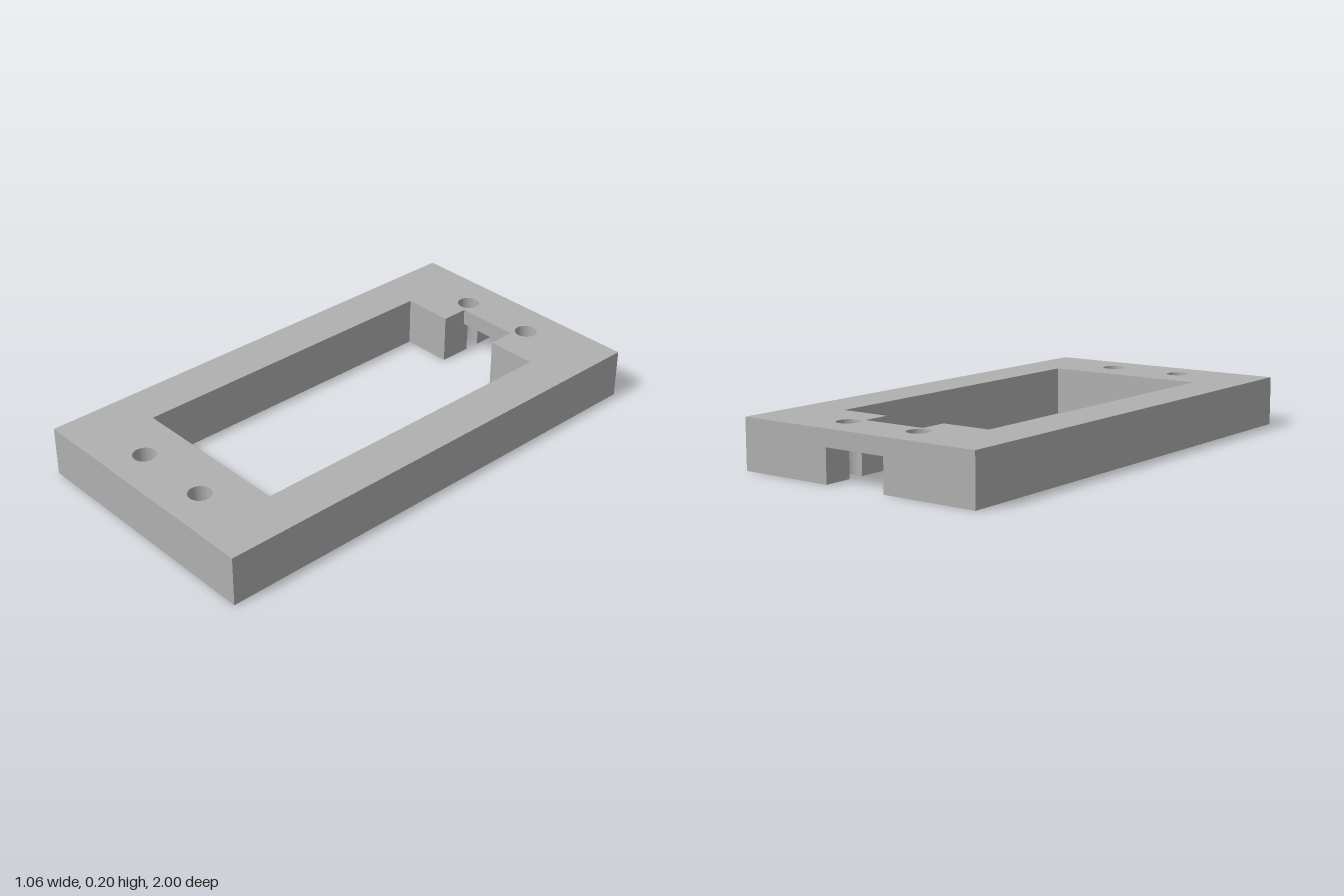
import * as THREE from 'three';
import { toCreasedNormals } from 'three/addons/utils/BufferGeometryUtils.js';

const W = 0.53, L = 1;                  // half width and half length of the frame
const OW = 0.343, OL = 0.68;            // half size of the opening
const C = 0.133, NOTCH = 0.793;         // half width of cable channel, end of the notch
const HX = 0.164, HZ = 0.85, R = 0.045; // screw holes
const SPLIT = 0.133, H = 0.2;           // channel ceiling and frame height

const points = (list) => list.map(([x, y]) => new THREE.Vector2(x, y));
const circle = (x, y) => new THREE.Path().absarc(x, y, R, 0, Math.PI * 2, false);

// Plan shapes are drawn with the back towards +y, then laid flat.
function slab(shape, y0, y1) {
  const g = new THREE.ExtrudeGeometry(shape, { depth: y1 - y0, bevelEnabled: false, curveSegments: 32 });
  g.rotateX(-Math.PI / 2);
  g.translate(0, y0, 0);
  return toCreasedNormals(g, 0.6);
}

export function createModel() {
  const grey = new THREE.MeshStandardMaterial({ color: 0xb0b0b0 });
  grey.name = 'grey';
  const group = new THREE.Group();
  group.name = 'mountingFrame';
  const add = (name, geometry) => {
    const mesh = new THREE.Mesh(geometry, grey);
    mesh.name = name;
    group.add(mesh);
  };

  // Lower layer: open at the back, where the channel grazes both rear screw holes
  const a = Math.acos((C - HX) / R);
  const lower = new THREE.Shape();
  lower.moveTo(-W, -L);
  lower.lineTo(W, -L);
  lower.lineTo(W, L);
  lower.lineTo(C, L);
  lower.absarc(HX, HZ, R, a, -a, true);
  lower.lineTo(C, OL);
  lower.lineTo(OW, OL);
  lower.lineTo(OW, -OL);
  lower.lineTo(-OW, -OL);
  lower.lineTo(-OW, OL);
  lower.lineTo(-C, OL);
  lower.absarc(-HX, HZ, R, a - Math.PI, Math.PI - a, true);
  lower.lineTo(-C, L);
  lower.lineTo(-W, L);
  lower.closePath();
  for (const s of [-1, 1]) lower.holes.push(circle(s * HX, -HZ));
  add('lowerFrame', slab(lower, 0, SPLIT));

  // Upper layer: closed ring that bridges the channel, with a notch in the opening
  const upper = new THREE.Shape(points([[-W, -L], [W, -L], [W, L], [-W, L]]));
  upper.holes.push(new THREE.Path(points([
    [-OW, -OL], [-OW, OL], [-C, OL], [-C, NOTCH], [C, NOTCH], [C, OL], [OW, OL], [OW, -OL],
  ])));
  for (const s of [-1, 1]) for (const t of [-1, 1]) upper.holes.push(circle(s * HX, t * HZ));
  add('upperFrame', slab(upper, SPLIT, H));

  return group;
}
